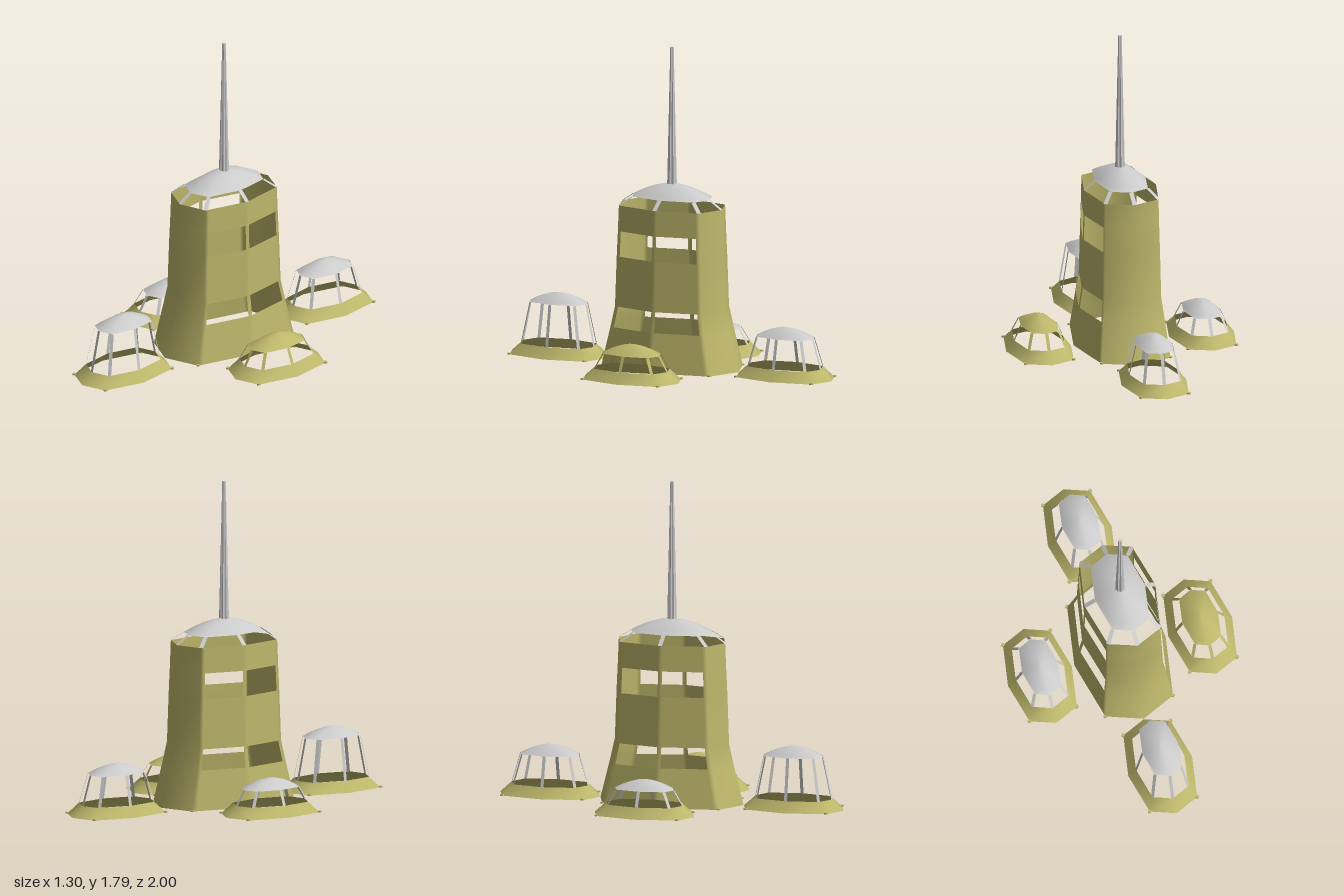
import * as THREE from 'three';

const khaki = new THREE.MeshStandardMaterial({ color: 0xbdb76b, side: THREE.DoubleSide });
const grey = new THREE.MeshStandardMaterial({ color: 0xcccccc, side: THREE.DoubleSide });

// Elongated octagon shared by every plan outline (unit half-axes)
const OCTAGON = [[1, 0], [0.74, 0.81], [0, 1], [-0.74, 0.81], [-1, 0], [-0.74, -0.81], [0, -1], [0.74, -0.81]];

function mesh(name, geometry, material) {
  const m = new THREE.Mesh(geometry, material);
  m.name = name;
  return m;
}

// Skin over stacked outlines; each ring is [half x, half z, y], and skip(i, j) leaves openings
function shell(rings, plan = OCTAGON, skip = () => false) {
  const n = plan.length, positions = [], index = [];
  for (const [rx, rz, y] of rings) for (const [x, z] of plan) positions.push(x * rx, y, z * rz);
  for (let j = 0; j < rings.length - 1; j++) {
    for (let i = 0; i < n; i++) {
      if (skip(i, j)) continue;
      const a = j * n + i, b = j * n + (i + 1) % n;
      index.push(a, a + n, b, b, a + n, b + n);
    }
  }
  const g = new THREE.BufferGeometry();
  g.setAttribute('position', new THREE.Float32BufferAttribute(positions, 3));
  g.setIndex(index);
  g.computeVertexNormals();
  return g;
}

// Shallow rounded roof
function dome(rx, rz, y, height) {
  const rings = [1, 0.85, 0.7, 0.5, 0.3, 0.12, 0].map(s => [rx * s, rz * s, y + height * (1 - s ** 1.7)]);
  return shell(rings);
}

// Flat window bars joining the corners of two outlines
function addBars(group, low, high, width, material) {
  OCTAGON.forEach(([x, z]) => {
    const side = new THREE.Vector3(-z, 0, x).normalize().multiplyScalar(width / 2);
    const p = new THREE.Vector3(x * low[0], low[2], z * low[1]);
    const q = new THREE.Vector3(x * high[0], high[2], z * high[1]);
    const g = new THREE.BufferGeometry().setFromPoints([
      p.clone().sub(side), p.clone().add(side), q.clone().add(side), q.clone().sub(side)]);
    g.setIndex([0, 2, 1, 0, 3, 2]);
    g.computeVertexNormals();
    group.add(mesh('windowBar', g, material));
  });
}

// Small feet under the four diagonal corners
function addFeet(group, rx, rz) {
  OCTAGON.filter(([x, z]) => x * z !== 0).forEach(([x, z]) => {
    const foot = mesh('cornerFoot', new THREE.CylinderGeometry(0.011, 0.011, 0.008, 8), khaki);
    foot.position.set(x * rx, 0.004, z * rz);
    group.add(foot);
  });
}

// Low glazed pod: sloping skirt, window bars, roof
function pod(name, x, z, rimY, topMaterial) {
  const g = new THREE.Group();
  g.name = name;
  const skirtTop = [0.14, 0.222, 0.06], roofRim = [0.103, 0.172, rimY];
  g.add(mesh('skirt', shell([[0.185, 0.29, 0], skirtTop]), khaki));
  addBars(g, skirtTop, roofRim, 0.018, topMaterial);
  g.add(mesh('roof', dome(...roofRim, 0.055), topMaterial));
  addFeet(g, 0.185, 0.29);
  g.position.set(x, 0, z);
  return g;
}

// Tall hull with two window bands on each long side
function tower() {
  const g = new THREE.Group();
  g.name = 'tower';

  // Add window jambs to the four side faces of the outline
  const plan = [], openings = new Set();
  OCTAGON.forEach((p, i) => {
    const q = OCTAGON[(i + 1) % 8];
    plan.push(p);
    const fromSide = p[1] === 0, toSide = q[1] === 0;
    if (!fromSide && !toSide) return;
    openings.add(plan.length);
    for (const t of fromSide ? [0.045, 0.92] : [0.08, 0.955]) {
      plan.push([p[0] + (q[0] - p[0]) * t, p[1] + (q[1] - p[1]) * t]);
    }
  });
  const rings = [
    [0.265, 0.417, 0], [0.236, 0.36, 0.22], [0.219, 0.333, 0.335],
    [0.212, 0.323, 0.615], [0.208, 0.316, 0.757], [0.205, 0.31, 0.9],
  ];
  const hull = shell(rings, plan, (i, j) => (j === 1 || j === 3) && openings.has(i));
  g.add(mesh('hull', hull, khaki));

  // Glazed top and roof
  const roofRim = [0.145, 0.238, 0.948];
  addBars(g, rings[5], roofRim, 0.024, grey);
  g.add(mesh('roof', dome(...roofRim, 0.077), grey));
  addFeet(g, 0.265, 0.417);

  // Tapered fluted mast
  const mastShape = new THREE.CylinderGeometry(0.01, 0.028, 0.775, 16, 1);
  const pos = mastShape.attributes.position;
  for (let i = 0; i < pos.count; i++) {
    const step = Math.round(Math.atan2(pos.getX(i), pos.getZ(i)) / (Math.PI / 8));
    if (step % 2) pos.setXYZ(i, pos.getX(i) * 0.78, pos.getY(i), pos.getZ(i) * 0.78);
  }
  const flat = mastShape.toNonIndexed();
  flat.computeVertexNormals();
  const mast = mesh('mast', flat, grey);
  mast.position.y = 1.4;
  g.add(mast);
  return g;
}

export function createModel() {
  const model = new THREE.Group();
  model.name = 'towerWithPods';
  model.add(
    tower(),
    pod('frontPod', 0, 0.71, 0.293, grey),
    pod('backPod', 0, -0.71, 0.225, grey),
    pod('leftPod', 0.465, 0, 0.143, khaki),
    pod('rightPod', -0.465, 0, 0.143, grey),
  );
  return model;
}
